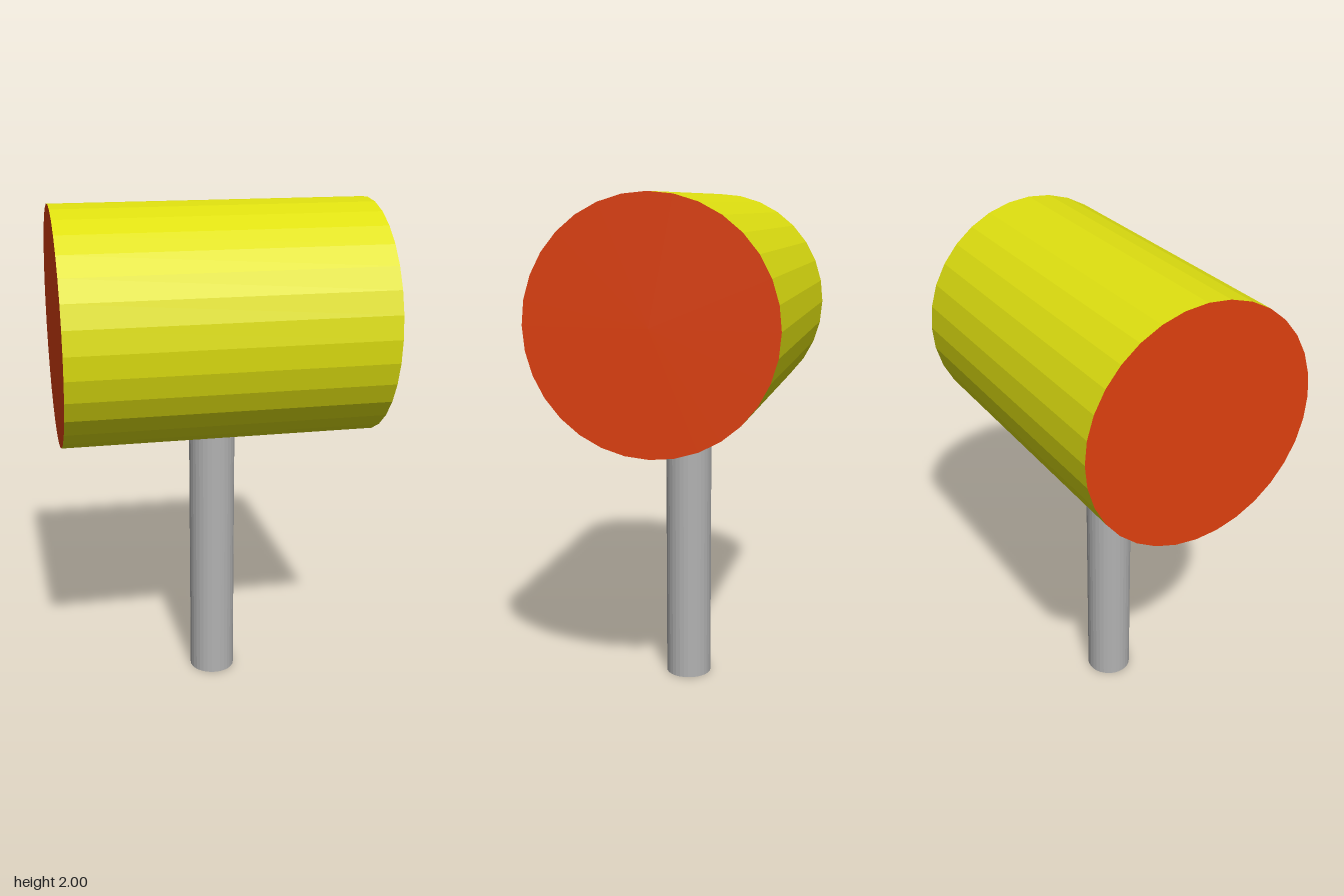
import * as THREE from 'three';

const SIDES = 32;

export function createModel() {
  const paint = (name, color) => new THREE.MeshStandardMaterial({ name, color, flatShading: true });
  const yellow = paint('yellow', 0xdfe010);
  const red = paint('red', 0xde400f);
  const grey = paint('grey', 0xb2b2b2);

  const model = new THREE.Group();
  model.name = 'mallet';

  const headRadius = 0.467, headLength = 1.246, headY = 2 - headRadius;
  const handleRadius = 0.093, handleTop = 1.12;

  // Barrel head lying along x: yellow side, red striking faces
  const head = new THREE.Mesh(
    new THREE.CylinderGeometry(headRadius, headRadius, headLength, SIDES),
    [yellow, red, red]
  );
  head.name = 'head';
  head.rotation.z = Math.PI / 2;
  head.position.y = headY;
  model.add(head);

  // Round handle, its top set into the head
  const handle = new THREE.Mesh(
    new THREE.CylinderGeometry(handleRadius, handleRadius, handleTop, SIDES),
    grey
  );
  handle.name = 'handle';
  handle.position.y = handleTop / 2;
  model.add(handle);

  return model;
}
